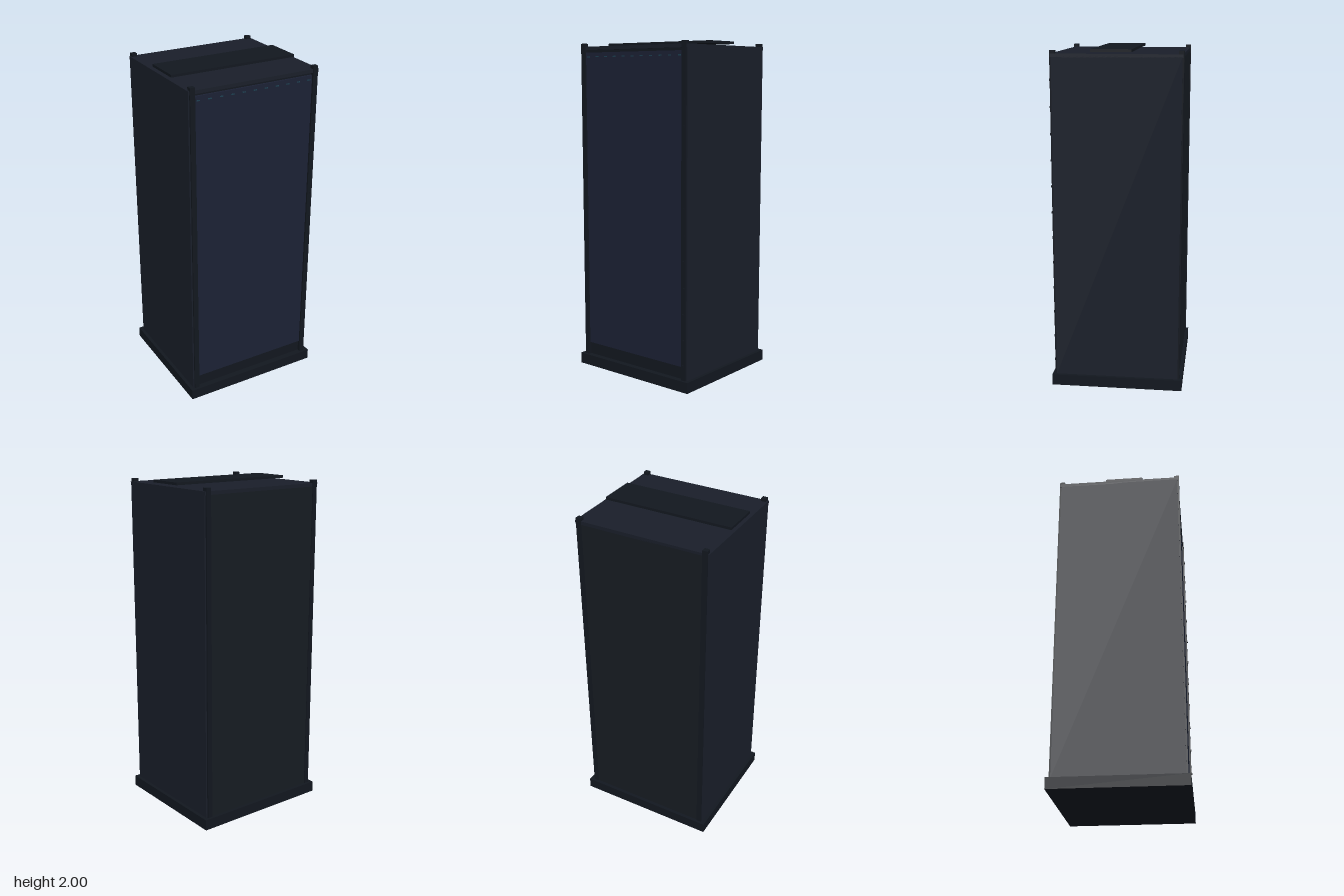
import * as THREE from 'three';

export function createModel() {
  const group = new THREE.Group();
  const mat = (color) => new THREE.MeshStandardMaterial({ color });
  const frame = mat(0x12171f), panel = mat(0x191e29), rear = mat(0x161b22);
  const door = mat(0x1b2134), light = mat(0x1d3f50);

  // Box given by its extents along x, y and z
  function box(name, material, [x0, x1], [y0, y1], [z0, z1]) {
    const mesh = new THREE.Mesh(new THREE.BoxGeometry(x1 - x0, y1 - y0, z1 - z0), material);
    mesh.position.set((x0 + x1) / 2, (y0 + y1) / 2, (z0 + z1) / 2);
    mesh.name = name;
    group.add(mesh);
  }

  // Plinth, roof and the raised cover floating above the roof
  box('plinth', frame, [-0.43, 0.43], [0, 0.065], [-0.39, 0.39]);
  box('roof', panel, [-0.41, 0.41], [1.955, 1.975], [-0.37, 0.37]);
  box('roofCover', frame, [-0.395, 0.395], [1.985, 2], [-0.085, 0.145]);

  // Corner posts and side panels
  for (const s of [-1, 1]) {
    for (const t of [-1, 1]) {
      const x = s * 0.387, z = t * 0.36;
      box('cornerPost', frame, [x - 0.015, x + 0.015], [0.065, 1.993], [z - 0.015, z + 0.015]);
    }
    box('sidePanel', panel, s > 0 ? [0.395, 0.41] : [-0.41, -0.395], [0.065, 1.96], [-0.365, 0.365]);
  }

  // Back panel, front door and the recessed rails above and below it
  box('backPanel', rear, [-0.375, 0.375], [0.065, 1.96], [-0.37, -0.355]);
  box('door', door, [-0.373, 0.373], [0.14, 1.94], [0.345, 0.364]);
  box('topRail', frame, [-0.373, 0.373], [1.935, 1.957], [0.33, 0.352]);
  box('bottomRail', frame, [-0.373, 0.373], [0.065, 0.145], [0.33, 0.355]);

  // Row of indicator lights along the top of the door
  for (let i = 0; i < 11; i++) {
    const x = -0.35 + i * 0.07;
    box('indicatorLight', light, [x - 0.01, x + 0.01], [1.912, 1.918], [0.36, 0.367]);
  }

  // Small studs up the front left post
  for (let i = 0; i < 12; i++) {
    const y = 0.15 + i * 0.1527;
    box('postStud', frame, [0.384, 0.396], [y - 0.006, y + 0.006], [0.37, 0.38]);
  }
  return group;
}
